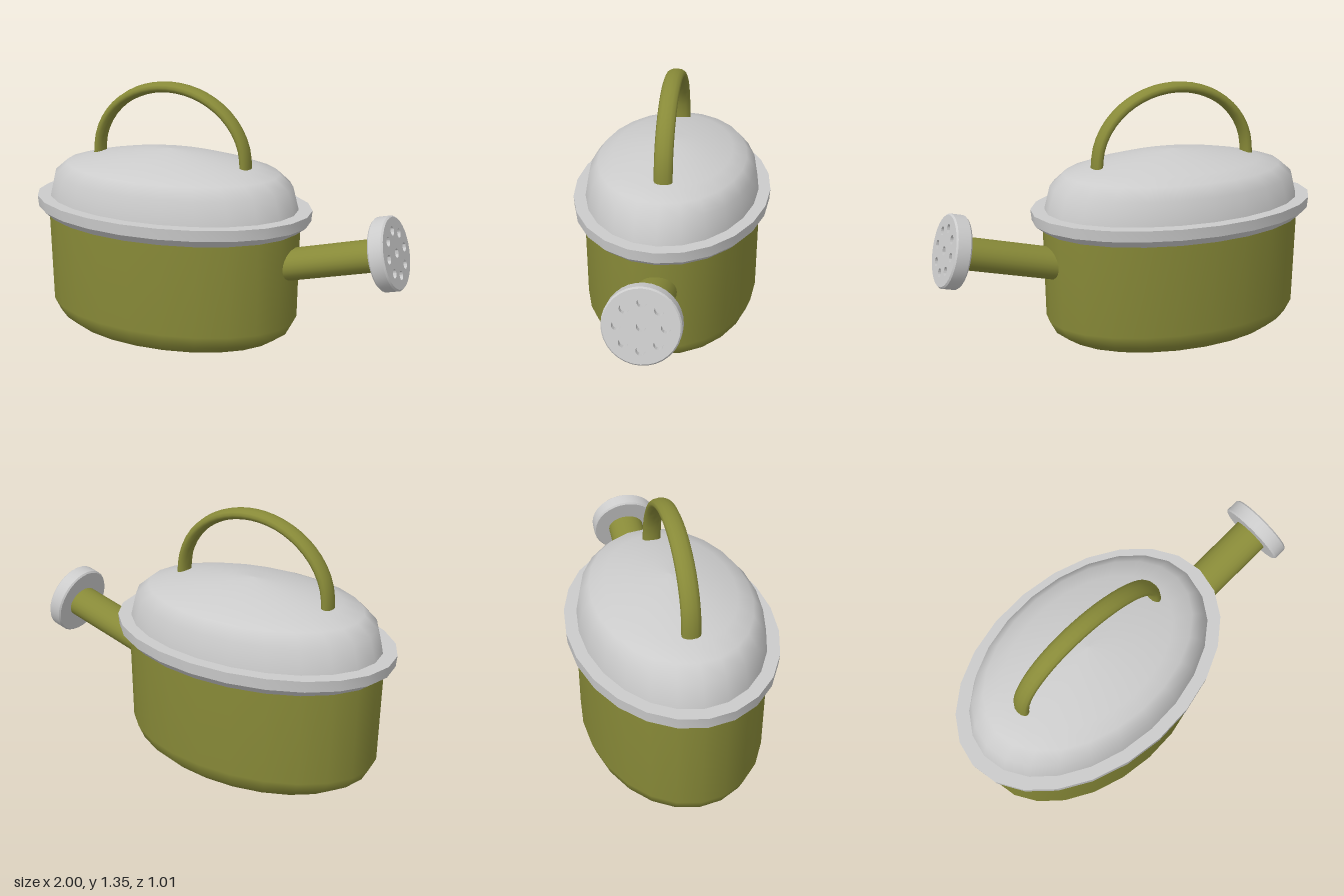
import * as THREE from 'three';
import { toCreasedNormals } from 'three/addons/utils/BufferGeometryUtils.js';

const SIDES = 24;
const CENTRE_X = -0.25;
const TILT = 0.25; // upward angle of the spout

const olive = new THREE.MeshStandardMaterial({ color: 0x888a38 });
const grey = new THREE.MeshStandardMaterial({ color: 0xcccccc });

function addMesh(parent, name, geometry, material) {
  const mesh = new THREE.Mesh(geometry, material);
  mesh.name = name;
  parent.add(mesh);
  return mesh;
}

function lathe(profile, sides = SIDES) {
  return new THREE.LatheGeometry(profile.map(([r, y]) => new THREE.Vector2(r, y)), sides);
}

// Turned form squeezed in z into an oval
function oval(profile, depth) {
  return lathe(profile).scale(1, 1, depth).translate(CENTRE_X, 0, 0);
}

function createRose() {
  const rose = new THREE.Group();
  rose.name = 'sprinklerHead';

  // Shallow cup with softened edges
  const cup = lathe([[0, 0], [0.172, 0], [0.179, 0.008], [0.179, 0.07], [0.172, 0.078], [0.172, 0.045], [0, 0.045]], 32);
  addMesh(rose, 'sprinklerCup', toCreasedNormals(cup.rotateX(Math.PI / 2), 0.5), grey);

  // Perforated face: one central hole and a ring of eight
  const face = new THREE.Shape().absarc(0, 0, 0.172, 0, Math.PI * 2);
  const addHole = (x, y) => face.holes.push(new THREE.Path().absarc(x, y, 0.022, 0, Math.PI * 2, true));
  addHole(0, 0);
  for (let i = 0; i < 8; i++) {
    const a = (i * Math.PI) / 4;
    addHole(0.109 * Math.cos(a), 0.109 * Math.sin(a));
  }
  const plate = new THREE.ExtrudeGeometry(face, { depth: 0.033, bevelEnabled: false, curveSegments: 16 });
  addMesh(rose, 'sprinklerFace', toCreasedNormals(plate.translate(0, 0, 0.045), 0.6), grey);
  return rose;
}

export function createModel() {
  const model = new THREE.Group();
  model.name = 'wateringCan';

  // Oval tank with rounded bottom
  addMesh(model, 'body', oval([
    [0, 0.003], [0.15, 0.011], [0.32, 0.033], [0.47, 0.056], [0.58, 0.08],
    [0.645, 0.122], [0.68, 0.185], [0.69, 0.65], [0.69, 0.7],
  ], 0.653), olive);

  // Flared collar between tank and lid
  const rim = oval([[0.65, 0.655], [0.695, 0.653], [0.744, 0.69], [0.75, 0.745], [0.65, 0.745]], 0.673);
  addMesh(model, 'rim', toCreasedNormals(rim, 0.6), grey);

  // Domed lid
  addMesh(model, 'lid', oval([
    [0.685, 0.71], [0.68, 0.745], [0.65, 0.86], [0.58, 0.918],
    [0.47, 0.948], [0.32, 0.978], [0.15, 1.003], [0, 1.013],
  ], 0.653), grey);

  // Arched handle, wider than it is thick
  const points = [new THREE.Vector3(CENTRE_X - 0.42, 0.9, 0)];
  for (let i = 0; i <= 12; i++) {
    const a = Math.PI * (1 - i / 12);
    points.push(new THREE.Vector3(CENTRE_X + 0.42 * Math.cos(a), 0.965 + 0.357 * Math.sin(a), 0));
  }
  points.push(new THREE.Vector3(CENTRE_X + 0.42, 0.9, 0));
  const arch = new THREE.TubeGeometry(new THREE.CatmullRomCurve3(points), 28, 0.027, 12);
  addMesh(model, 'handle', arch.scale(1, 1, 1.7), olive);

  // Spout assembly, built along z and turned towards +x
  const spout = new THREE.Group();
  spout.name = 'spoutAssembly';
  const pipe = new THREE.CylinderGeometry(0.096, 0.096, 0.61, SIDES);
  pipe.rotateX(Math.PI / 2).scale(1, 0.82, 1).translate(0, 0, -0.295);
  addMesh(spout, 'spout', pipe, olive);
  spout.add(createRose());
  spout.position.set(0.88, 0.615, 0);
  spout.rotation.set(0, Math.PI / 2, TILT, 'ZYX');
  model.add(spout);

  return model;
}
